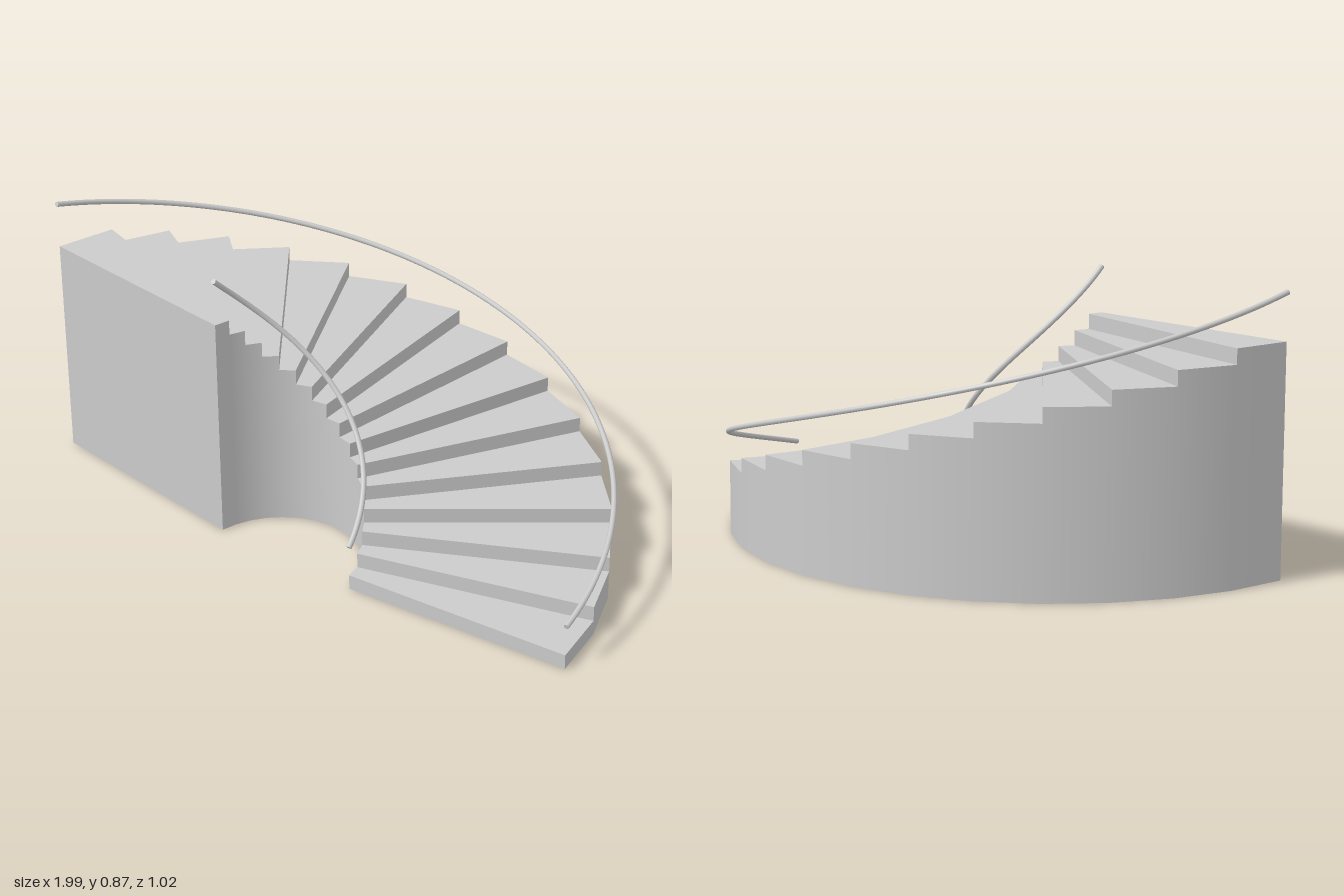
import * as THREE from 'three';

const STEPS = 15, RISE = 0.7136 / STEPS;
const START = THREE.MathUtils.degToRad(12.4), TURN = THREE.MathUtils.degToRad(11.2);
const CX = 0.01, CZ = 0.497, INNER = 0.258, OUTER = 1.0;
const RAIL_HEIGHT = 0.145, RAIL_RADIUS = 0.0085;

const material = new THREE.MeshStandardMaterial({ color: 0xcccccc });

// Point on the spiral: angle, radius, height
const at = (a, r, y) => new THREE.Vector3(CX + r * Math.cos(a), y, CZ - r * Math.sin(a));
const radial = (a, s) => new THREE.Vector3(s * Math.cos(a), 0, -s * Math.sin(a));

// Geometry from quads; each quad is 4 corners and 4 normals (flat when omitted)
function quadsGeometry(quads) {
  const pos = [], nor = [];
  for (const { p, n } of quads) {
    const flat = p[1].clone().sub(p[0]).cross(p[2].clone().sub(p[0])).normalize();
    for (const i of [0, 1, 2, 0, 2, 3]) {
      pos.push(...p[i].toArray());
      nor.push(...(n ? n[i] : flat).toArray());
    }
  }
  const g = new THREE.BufferGeometry();
  g.setAttribute('position', new THREE.Float32BufferAttribute(pos, 3));
  g.setAttribute('normal', new THREE.Float32BufferAttribute(nor, 3));
  return g;
}

// One wedge of the solid stair, from the ground up to its tread
function step(i) {
  const a = START + i * TURN, b = a + TURN, low = i * RISE, top = low + RISE;
  const quads = [
    { p: [at(a, INNER, top), at(a, OUTER, top), at(b, OUTER, top), at(b, INNER, top)] },
    { p: [at(a, INNER, low), at(a, OUTER, low), at(a, OUTER, top), at(a, INNER, top)] },
    { p: [at(b, INNER, 0), at(b, OUTER, 0), at(a, OUTER, 0), at(a, INNER, 0)] },
    {
      p: [at(a, OUTER, 0), at(b, OUTER, 0), at(b, OUTER, top), at(a, OUTER, top)],
      n: [radial(a, 1), radial(b, 1), radial(b, 1), radial(a, 1)],
    },
    {
      p: [at(b, INNER, 0), at(a, INNER, 0), at(a, INNER, top), at(b, INNER, top)],
      n: [radial(b, -1), radial(a, -1), radial(a, -1), radial(b, -1)],
    },
  ];
  // Tall flat wall closing the upper end
  if (i === STEPS - 1) {
    quads.push({ p: [at(b, OUTER, 0), at(b, INNER, 0), at(b, INNER, top), at(b, OUTER, top)] });
  }
  const mesh = new THREE.Mesh(quadsGeometry(quads), material);
  mesh.name = 'step' + (i + 1);
  return mesh;
}

// Helical handrail with closed ends
function handrail(name, radius) {
  const points = [];
  for (let i = 0; i <= 60; i++) {
    const t = (i / 60) * STEPS;
    points.push(at(START + t * TURN, radius, RAIL_HEIGHT + t * RISE));
  }
  const curve = new THREE.CatmullRomCurve3(points);
  const rail = new THREE.Group();
  rail.name = name;
  rail.add(new THREE.Mesh(new THREE.TubeGeometry(curve, 120, RAIL_RADIUS, 8), material));
  for (const [t, sign] of [[0, -1], [1, 1]]) {
    const cap = new THREE.Mesh(new THREE.CircleGeometry(RAIL_RADIUS, 8), material);
    cap.position.copy(curve.getPoint(t));
    cap.lookAt(cap.position.clone().addScaledVector(curve.getTangent(t), sign));
    rail.add(cap);
  }
  rail.children.forEach((m, i) => { m.name = ['railTube', 'lowerCap', 'upperCap'][i]; });
  return rail;
}

export function createModel() {
  const model = new THREE.Group();
  model.name = 'curvedStaircase';

  const stairs = new THREE.Group();
  stairs.name = 'stairs';
  for (let i = 0; i < STEPS; i++) stairs.add(step(i));

  model.add(stairs, handrail('innerHandrail', INNER), handrail('outerHandrail', OUTER));
  return model;
}
